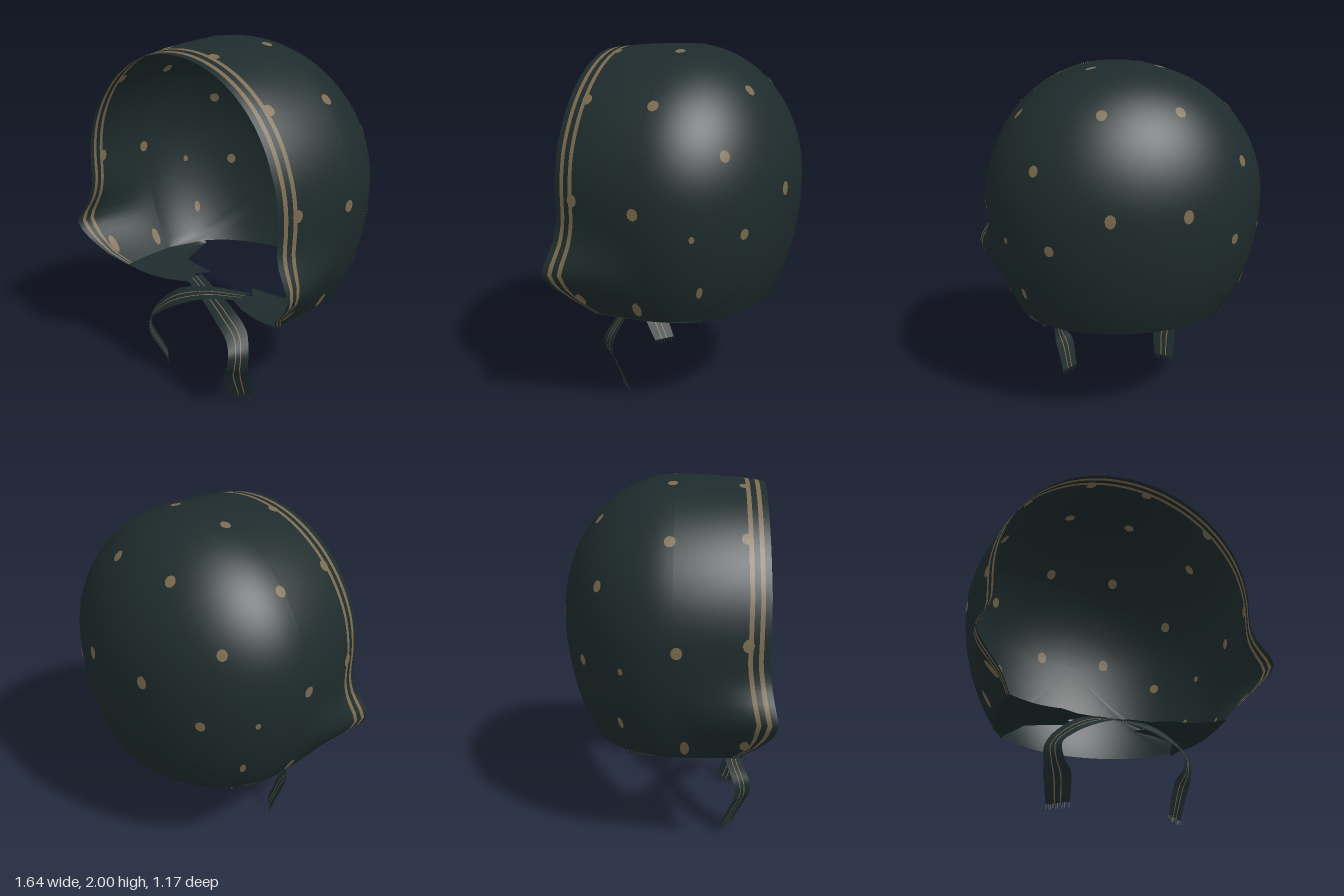
import * as THREE from 'three';
import { mergeGeometries } from 'three/addons/utils/BufferGeometryUtils.js';

const cloth = new THREE.MeshStandardMaterial({ color: 0x1e2b2c, side: THREE.DoubleSide });
cloth.name = 'dark green cloth';
const tan = new THREE.MeshStandardMaterial({ color: 0x7a6a4e, side: THREE.DoubleSide });
tan.name = 'tan trim';

// Hood proportions: an ellipsoid back, drawn forward into a sleeve, cut off at the neck
const RX = 0.793, UP = 0.75, DOWN = 1.04, DEPTH = 0.635, CY = 1.25, CZ = 0.05, NECK = 0.588;
const PHI0 = Math.asin((CY - NECK) / DOWN);
const lerp = THREE.MathUtils.lerp;
const ry = (s) => (s < 0 ? DOWN : UP);

// Grid of points fn(i, j) with one material index per row
function grid(rows, cols, fn, bandOf = () => 0) {
  const pos = [], idx = [], geo = new THREE.BufferGeometry();
  for (let i = 0; i <= rows; i++)
    for (let j = 0; j <= cols; j++) pos.push(...fn(i, j));
  for (let i = 0; i < rows; i++) {
    geo.addGroup(idx.length, cols * 6, bandOf(i));
    for (let j = 0; j < cols; j++) {
      const a = i * (cols + 1) + j, b = a + 1, c = a + cols + 1, d = c + 1;
      idx.push(a, b, c, b, d, c);
    }
  }
  geo.setAttribute('position', new THREE.Float32BufferAttribute(pos, 3));
  geo.setIndex(idx);
  geo.computeVertexNormals();
  return geo;
}

function addMesh(parent, name, geo, mat) {
  const m = new THREE.Mesh(geo, mat);
  m.name = name;
  parent.add(m);
}

// Front edge of the hood: z for a given height
const RIM = [[0.58, 0.39], [0.68, 0.5], [0.78, 0.56], [0.86, 0.585], [1.0, 0.555], [1.15, 0.535], [1.5, 0.54], [2.01, 0.525]];
function rimZ(y) {
  for (let i = 1; i < RIM.length; i++) {
    const [y0, z0] = RIM[i - 1], [y1, z1] = RIM[i];
    if (y <= y1) return lerp(z0, z1, (y - y0) / (y1 - y0));
  }
  return 0.525;
}

// Front sleeve: narrows a little towards the rim and flares at the jaw
function sleeve(phi, z) {
  const c = Math.cos(phi), s = Math.sin(phi);
  const f = Math.max(0, (z - CZ) / 0.48) ** 2;
  const y = CY + ry(s) * s * (s > 0 ? 1 - 0.05 * f : 1);
  const k = Math.max(0, (z - CZ) / 0.5) ** 1.25;
  const flare = 0.155 * k * Math.exp(-(((y - 0.85) / (y < 0.85 ? 0.19 : 0.15)) ** 2));
  return [RX * c * (1 - 0.09 * f) + Math.sign(c) * flare, y, z];
}

// Rounded back
function dome(phi, a) {
  const s = Math.sin(phi), r = Math.cos(a);
  return [RX * Math.cos(phi) * r, CY + ry(s) * s * r, CZ - DEPTH * Math.sin(a)];
}

// Nearest hood point for a rough position
function project(p) {
  const h = ry(p.y - CY);
  const X = p.x / RX, Y = (p.y - CY) / h, Z = (p.z - CZ) / DEPTH;
  if (Z >= 0) return new THREE.Vector3(...sleeve(Math.atan2(Y, X), p.z));
  const l = Math.hypot(X, Y, Z);
  return new THREE.Vector3((X / l) * RX, CY + (Y / l) * h, CZ + (Z / l) * DEPTH);
}

// Spot: a small disc following the hood, laid on both its faces
function spot(x, y, z, r, stretch) {
  const c = project(new THREE.Vector3(x, y, z));
  const e = 0.02, n0 = new THREE.Vector3(c.x / RX ** 2, (c.y - CY) / ry(c.y - CY) ** 2, Math.min(0, c.z - CZ) / DEPTH ** 2).normalize();
  const ref = Math.abs(n0.y) > 0.9 ? new THREE.Vector3(0, 0, 1) : new THREE.Vector3(0, 1, 0);
  const t1 = new THREE.Vector3().crossVectors(ref, n0).normalize();
  const t2 = new THREE.Vector3().crossVectors(n0, t1);
  const at = (u, v) => project(c.clone().addScaledVector(t1, u).addScaledVector(t2, v));
  const n = at(e, 0).sub(at(-e, 0)).cross(at(0, e).sub(at(0, -e))).normalize();
  return [0.004, -0.004].map((off) => grid(2, 10, (i, j) => {
    const a = (j / 10) * Math.PI * 2, q = (r * i) / 2;
    return at(Math.cos(a) * q, Math.sin(a) * q * stretch).addScaledVector(n, off).toArray();
  }));
}

// Ribbon from points [x, y, z, half-width vector], with two thin stripes
function ribbon(table) {
  const mid = new THREE.CatmullRomCurve3(table.map((t) => new THREE.Vector3(t[0], t[1], t[2])));
  const wide = new THREE.CatmullRomCurve3(table.map((t) => new THREE.Vector3(t[3], t[4], t[5])));
  const across = [-1, -0.3, -0.2, 0.2, 0.3, 1];
  return grid(5, 40, (i, j) => mid.getPoint(j / 40).addScaledVector(wide.getPoint(j / 40), across[i]).toArray(),
    (i) => (i === 1 || i === 3 ? 1 : 0));
}

export function createModel() {
  const model = new THREE.Group();
  model.name = 'bonnet';

  // Front sleeve with two stripes along the rim, drawn together below the jaw
  const N = 88, M = 28, trim = [0, 0.033, 0.057, 0.087, 0.111], back = 12;
  const arch = (j) => lerp(-PHI0, Math.PI + PHI0, j / N);
  addMesh(model, 'hoodFront', grid(4 + back, N, (i, j) => {
    const phi = arch(j), s = Math.sin(phi), y = CY + ry(s) * s, rim = rimZ(y);
    const tight = lerp(0.35, 1, THREE.MathUtils.smoothstep(y, NECK, 0.86));
    const z = i <= 4 ? rim - trim[i] * tight : lerp(rim - trim[4] * tight, CZ, (i - 4) / back);
    return sleeve(phi, z);
  }, (i) => (i === 1 || i === 3 ? 1 : 0)), [cloth, tan]);

  // Back of the hood, starting at the neckline underneath
  addMesh(model, 'hoodBack', grid(28, N + M, (i, j) => {
    const phi = j <= N ? arch(j) : lerp(Math.PI + PHI0, 2 * Math.PI - PHI0, (j - N) / M);
    const start = j <= N ? 0 : Math.acos(Math.min(1, (CY - NECK) / DOWN / -Math.sin(phi)));
    return dome(phi, lerp(start, Math.PI / 2, i / 28));
  }), [cloth]);

  // Spots, mirrored left and right: x, y, z, radius, stretch
  const spots = [
    [0.2, 2, 0.03, 0.031, 0.9], [0.59, 1.74, 0.03], [0.78, 1.23, 0.07], [0.57, 1.51, -0.34, 0.029], [0.5, 1.1, -0.42, 0.028],
    [0.21, 1.79, -0.36], [0.21, 1.28, -0.57, 0.03, 1.3], [0.64, 0.68, 0.11, 0.025, 2.2], [0.66, 0.765, -0.24, 0.017, 2.2],
    [0.73, 1.1, -0.22, 0.015, 1.3], [0.18, 1.96, 0.408, 0.031, 0.9], [0.55, 1.73, 0.415], [0.77, 1.26, 0.425], [0.66, 0.7, 0.42, 0.025, 2],
  ];
  const discs = [];
  for (const [x, y, z, r = 0.03, stretch = 1.1] of spots)
    for (const side of [1, -1]) discs.push(...spot(side * x, y, z, r, stretch));
  addMesh(model, 'spots', mergeGeometries(discs), tan);

  // Chin flaps curling in under the jaw, each with a pointed tip and a root for the tie
  const curve = (pts, tension) => new THREE.CatmullRomCurve3(pts.map(([x, y, z]) => new THREE.Vector3(x, y, z)), false, 'catmullrom', tension);
  const outer = curve([[0.528, NECK, -0.2], [0.583, NECK, -0.1], [0.612, NECK, 0.05], [0.616, NECK, 0.2], [0.605, NECK, 0.395]], 0.5);
  const inner = curve([[0.51, 0.58, -0.2], [0.46, 0.573, -0.05], [0.41, 0.566, 0.07], [0.17, 0.575, 0.11], [0.23, 0.57, 0.18], [0.12, 0.565, 0.25], [0.3, 0.565, 0.34]], 0.2);
  for (const side of [1, -1]) {
    addMesh(model, side > 0 ? 'leftChinFlap' : 'rightChinFlap', grid(8, 36, (i, j) => {
      const o = outer.getPoint(j / 36), p = o.clone().lerp(inner.getPoint(j / 36), i / 8);
      const curl = 0.014 * Math.sin((Math.PI * i) / 8);
      return [side * p.x, p.y - curl, p.z];
    }), [cloth]);
  }

  // Tie ribbons crossing under the chin, each with a fringed end
  for (const side of [1, -1]) {
    const tie = new THREE.Group();
    tie.name = side > 0 ? 'leftTie' : 'rightTie';
    const end = side > 0 ? 0.03 : 0.055, dy = side > 0 ? 0 : 0.008;
    const table = [
      [-0.2, 0.572, 0.22, 0, 0, -0.06], [0, 0.55 + dy, 0.3, 0.01, 0.02, -0.045], [0.18, 0.5, 0.36, 0.02, 0.035, -0.045],
      [0.3, 0.42, 0.385, 0.03, 0.025, -0.05], [0.35, 0.33, 0.425, 0.035, 0.005, -0.045], [0.345, 0.25, 0.43, 0.04, 0, -0.045],
      [0.32, 0.18, 0.405, 0.058, 0, -0.05], [0.3, end, 0.345, 0.05, 0, -0.045],
    ].map((t) => [side * t[0] - (side < 0 && t[1] < 0.4 ? 0.02 : 0), t[1], t[2], side * t[3], t[4], t[5]]);
    addMesh(tie, 'ribbon', ribbon(table), [cloth, tan]);
    const [x, y, z, wx, , wz] = table[table.length - 1];
    const threads = [];
    for (let i = 0; i < 11; i++) {
      const k = -0.95 + (1.9 * i) / 10, len = [0.03, 0.022, 0.027][i % 3];
      threads.push(new THREE.BoxGeometry(0.004, len, 0.004).translate(x + wx * k, y - len / 2, z + wz * k));
    }
    addMesh(tie, 'fringe', mergeGeometries(threads), cloth);
    model.add(tie);
  }
  return model;
}
